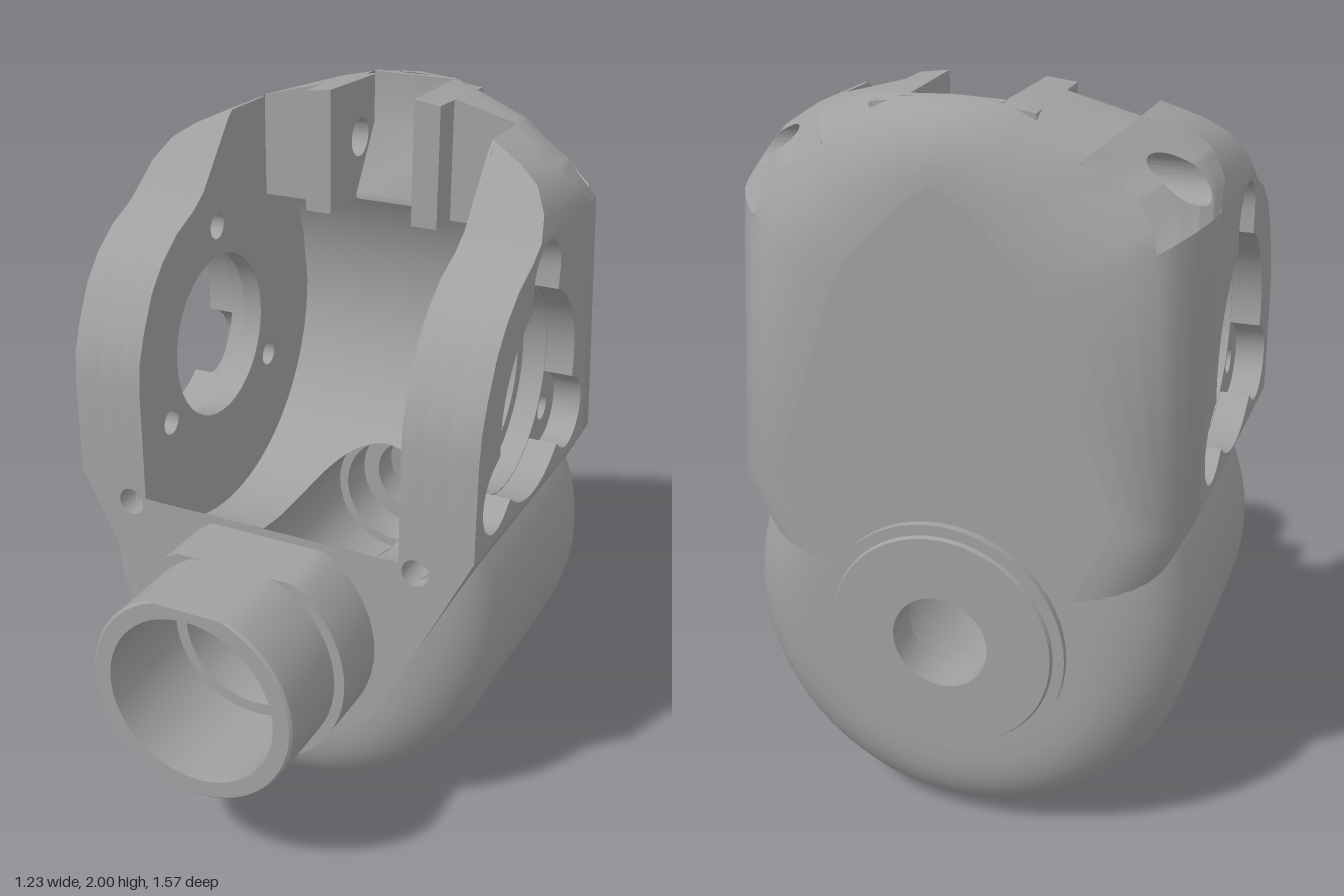
import * as THREE from 'three';
import { toCreasedNormals } from 'three/addons/utils/BufferGeometryUtils.js';

const CY = 0.615;                           // height of the main shaft axis
const CAV = { z: -0.1, y: 1.27, r: 0.57 };  // cross cavity, axis along x
const BORE = 0.215;
const HINGE = { z: -0.5, y: 1.815, r: 0.058 };
const FRONT = 0.35, BACK = -0.755;

// Half outline of the upper body: x, y, start of its skin in z,
// depth of the back rounding, x and y where it meets the flat back
const HALF = [
  [0.357, 0.44, 0.35, 0.17, 0.2, 0.5], [0.615, 0.97, 0.35, 0.17, 0.455, 1.01],
  [0.615, 0.97, -0.53, 0.17, 0.455, 1.01], [0.615, 1.73, -0.455, 0.3, 0.27, 1.55],
  [0.615, 1.73, -0.03, 0.3, 0.27, 1.55], [0.6, 1.79, -0.08, 0.4, 0.24, 1.6],
  [0.56, 1.85, -0.13, 0.44, 0.2, 1.65], [0.5, 1.89, -0.163, 0.45, 0.17, 1.68],
  [0.4, 1.935, -0.21, 0.35, 0.13, 1.72], [0.4, 1.935, -0.4, 0.35, 0.13, 1.72],
  [0.21, 1.985, -0.4, 0.24, 0.08, 1.77], [0.21, 1.985, -0.3, 0.24, 0.08, 1.77],
  [0.13, 1.995, -0.3, 0.17, 0.05, 1.79], [0.13, 1.995, -0.6, 0.17, 0.05, 1.79],
  [0, 2, -0.6, 0.14, 0, 1.82],
];

// Height of the roof line at x
function topY(x) {
  const i = HALF.findIndex((p, k) => k > 4 && p[0] <= Math.abs(x) + 1e-6), p = HALF[i], o = HALF[i - 1];
  return p[1] + (o[1] - p[1]) * (Math.abs(x) - p[0]) / (o[0] - p[0] || 1);
}

// Surface from rows of points
function grid(rows, skip = () => false) {
  const n = rows[0].length, idx = [];
  for (let i = 0; i < rows.length - 1; i++) for (let j = 0; j < n - 1; j++) {
    if (skip(i, j)) continue;
    const a = i * n + j, b = a + n;
    idx.push(a, b, a + 1, b, b + 1, a + 1);
  }
  const g = new THREE.BufferGeometry();
  g.setAttribute('position', new THREE.Float32BufferAttribute(rows.flat(2), 3));
  g.setIndex(idx);
  return g;
}
const steps = (n, f) => Array.from({ length: n + 1 }, (_, i) => f(i / n));
const mix = (p, q, t) => p.map((v, k) => v + (q[k] - v) * t);
const circle = (u, v, r, n = 40) => new THREE.Path(steps(n - 1, (t) => {
  const a = t * (n - 1) / n * Math.PI * 2;
  return new THREE.Vector2(u + r * Math.cos(a), v + r * Math.sin(a));
}));
// Plate with a z-y outline, reaching from x0 to x1
function sidePlate(pts, holes, x0, x1) {
  const s = new THREE.Shape(pts.map(([z, y]) => new THREE.Vector2(-z, y)));
  s.holes = holes;
  return new THREE.ExtrudeGeometry(s, { depth: x1 - x0, bevelEnabled: false }).rotateY(Math.PI / 2).translate(x0, 0, 0);
}
// Turned part around the shaft axis from [radius, z] points
function turned(pts, seg = 56, start = 0, len = Math.PI * 2) {
  return new THREE.LatheGeometry(pts.map(([r, z]) => new THREE.Vector2(r, z)), seg, start, len)
    .rotateX(Math.PI / 2).translate(0, CY, 0);
}

export function createModel() {
  const group = new THREE.Group();
  const metal = new THREE.MeshStandardMaterial({ color: 0xa0a0a0, side: THREE.DoubleSide });
  metal.name = 'grey metal';
  const add = (name, g, crease = 0.6) => {
    const m = new THREE.Mesh(toCreasedNormals(g, crease), metal);
    m.name = name;
    group.add(m);
  };

  // Lower drum with rounded rims
  const rim = 0.23, q = Math.PI / 2;
  add('drum', turned([
    [0.25, BACK],
    ...steps(8, (t) => [CY - rim + rim * Math.sin(t * q), BACK + rim - rim * Math.cos(t * q)]),
    ...steps(8, (t) => [CY - rim + rim * Math.cos(t * q), FRONT - rim + rim * Math.sin(t * q)]),
    [0.25, FRONT]], 44, -2.077, 4.154));

  // Stepped front sleeve with a flat on top
  const sleeve = turned([[0.335, FRONT], [0.335, 0.54], [0.305, 0.54], [0.305, 0.778], [0.298, 0.785],
    [0.25, 0.785], [0.25, 0.45], [BORE, 0.45]]);
  const sp = sleeve.attributes.position;
  for (let i = 0; i < sp.count; i++) sp.setY(i, Math.min(sp.getY(i), 0.895));
  add('frontSleeve', sleeve);
  add('backBoss', turned([[BORE, -0.55], [0.185, -0.55], [0.185, -0.68], [0.13, -0.68], [0.13, -0.785],
    [0.3, -0.785], [0.305, -0.775], [0.335, -0.775], [0.335, BACK]]));

  // Shaft bore, cut open where it meets the cavity
  const reach = (y) => Math.sqrt(Math.max(0, CAV.r ** 2 - (CAV.y - y) ** 2));
  for (const [end, dir] of [[0.45, 1], [-0.55, -1]]) {
    add('shaftBore', grid(steps(64, (t) => {
      const a = t * Math.PI * 2, x = BORE * Math.sin(a), y = CY + BORE * Math.cos(a);
      return [[x, y, end], [x, y, CAV.z + dir * reach(y)]];
    })));
  }

  // Curved cavity wall with the opening to the bore
  const a0 = Math.atan2(-0.35, 0.45), a1 = -Math.PI - Math.asin(0.36 / CAV.r);
  for (const s of [1, -1]) {
    add('cavityWall', grid(steps(120, (t) => {
      const a = a0 + (a1 - a0) * t, y = CAV.y + CAV.r * Math.sin(a), z = CAV.z + CAV.r * Math.cos(a);
      const w = Math.sqrt(Math.max(0, BORE ** 2 - (y - CY) ** 2));
      return [[s * w, y, z], [s * 0.4, y, z]];
    })));
  }

  // Front face with bore and two screw holes
  const face = new THREE.Shape();
  face.moveTo(0.4, 0.92).lineTo(0.4, 0.97).lineTo(0.615, 0.97).lineTo(0.357, 0.44);
  face.absarc(0, CY, 0.39, -0.456, Math.PI + 0.456, true);
  face.lineTo(-0.357, 0.44).lineTo(-0.615, 0.97).lineTo(-0.4, 0.97).lineTo(-0.4, 0.92);
  face.holes = [circle(0, CY, 0.25), circle(0.45, 0.9, 0.04, 20), circle(-0.45, 0.9, 0.04, 20)];
  add('frontFace', new THREE.ShapeGeometry(face, 24).translate(0, 0, FRONT));
  for (const s of [1, -1]) {
    add('frontScrewHole', turned([[0.04, FRONT], [0.04, 0.25], [0, 0.25]], 20).translate(s * 0.45, 0.9 - CY, 0));
  }

  // Side walls: layers with bearing bore, counterbore and three-lobed recess
  const profile = [[FRONT, 1.25], [0.34, 1.34], [0.31, 1.42], [0.26, 1.52], [0.2, 1.59], [0.12, 1.65], [0.03, 1.69], [-0.03, 1.73]];
  const wall = [[FRONT, 0.965], ...profile, [-0.455, 1.73], [-0.53, 0.965]];
  const inner = [...profile, [-0.18, 1.91], [-0.205, 1.93], [-0.4, 1.93], [-0.565, 1.87], [-0.62, 1.6],
    ...steps(24, (t) => {
      const a = -Math.PI + t * (a0 + Math.PI);
      return [CAV.z + CAV.r * Math.cos(a), CAV.y + CAV.r * Math.sin(a)];
    })];
  const lobes = [0, 1, 2].map((i) => Math.PI / 2 + i * Math.PI * 2 / 3);
  const screws = () => lobes.map((a) => circle(-CAV.z + 0.34 * Math.cos(a), CAV.y + 0.34 * Math.sin(a), 0.038, 20));
  const ring = (r) => circle(-CAV.z, CAV.y, r);
  const recess = () => new THREE.Path(steps(143, (t) => {
    const a = t * 143 / 144 * Math.PI * 2;
    let r = 0.298;
    for (const l of lobes) {
      const k = 0.0115 - (0.34 * Math.sin(a - l)) ** 2;
      if (k > 0 && Math.cos(a - l) > 0) r = Math.max(r, 0.34 * Math.cos(a - l) + Math.sqrt(k));
    }
    return new THREE.Vector2(-CAV.z + r * Math.cos(a), CAV.y + r * Math.sin(a));
  }));
  const hinge = () => circle(-HINGE.z, HINGE.y, HINGE.r, 48);
  const layers = [
    [inner, () => [ring(0.25), ...screws(), hinge()], 0.4, 0.41],
    [wall, () => [ring(0.25), ...screws()], 0.41, 0.46],
    [wall, () => [ring(0.295), ...screws()], 0.46, 0.53],
    [wall, () => [recess()], 0.53, 0.615],
  ];
  for (const [pts, holes, p, r] of layers) {
    add('leftWall', sidePlate(pts, holes(), p, r));
    add('rightWall', sidePlate(pts, holes(), -r, -p));
  }

  // Outer skin of the upper body, rounded into the back face
  const outline = [...HALF, ...HALF.slice(0, -1).reverse().map(([x, y, z, r, bx, by]) => [-x, y, z, r, -bx, by])];
  const rows = outline.map(([x, y, z, r, bx, by]) => [[x, y, z], ...steps(8, (t) => {
    const k = 1 - Math.cos(t * q);
    return [x + (bx - x) * k, y + (by - y) * k, Math.min(z, BACK + r * (1 - Math.sin(t * q)))];
  })]);
  const atHinge = (i, j) => {
    const k = Math.min(i, rows.length - 2 - i);
    return k >= 4 && k < 8 && j >= 1 && j < 5;
  };
  add('upperShell', grid(rows, atHinge), 0.7);

  // Skin around the hinge hole: rays from the hole centre to the border of the gap
  const skinAt = (u, v) => {
    const i = Math.min(7, Math.floor(u)), j = Math.min(4, Math.floor(v));
    return mix(mix(rows[i][j], rows[i][j + 1], v - j), mix(rows[i + 1][j], rows[i + 1][j + 1], v - j), u - i);
  };
  const mouth = steps(96, (t) => {
    const c = Math.cos(t * Math.PI * 2), s = Math.sin(t * Math.PI * 2), u0 = 6.1, v0 = 3.2;
    const far = Math.min((c > 0 ? 8 - u0 : u0 - 4) / Math.max(Math.abs(c), 1e-9),
      (s > 0 ? 5 - v0 : v0 - 1) / Math.max(Math.abs(s), 1e-9));
    const at = (d) => skinAt(u0 + c * d, v0 + s * d);
    let lo = 0, hi = far;
    for (let k = 0; k < 24; k++) {
      const m = (lo + hi) / 2, p = at(m);
      if (Math.hypot(p[1] - HINGE.y, p[2] - HINGE.z) < HINGE.r) lo = m; else hi = m;
    }
    return steps(4, (k) => at(lo + (far - lo) * k));
  });

  // Roof blocks, hinge tabs and the sloped back of the slot
  const roofPart = (name, pts, holes, x0, x1, drop) => {
    const g = sidePlate(pts, holes, x0, x1), p = g.attributes.position;
    for (let i = 0; i < p.count; i++) {
      if (p.getY(i) > 1.91) p.setY(i, topY(p.getX(i)) - (p.getZ(i) < -0.5 ? drop : 0));
    }
    add(name, g);
  };
  const block = (z, back) => [[back, 1.63], [z, 1.63], [z, 1.95], [back, 1.95]];
  for (const s of [1, -1]) {
    const span = (p, r) => (s > 0 ? [p, r] : [-r, -p]);
    const flip = ([x, y, z]) => [s * x, y, z];
    roofPart('roofBlock', block(-0.4, -0.565), [hinge()], ...span(0.21, 0.4), 0.065);
    roofPart('hingeTab', block(-0.3, -0.62), [hinge()], ...span(0.13, 0.21), 0.012);
    // Sloped front edge above each wall
    add('wallTopEdge', grid(HALF.slice(4, 9).map(([x, y, z]) => [[s * 0.4, y, z], [s * x, y, z]])));
    add('hingeMouth', grid(mouth.map((r) => r.map(flip))), 0.7);
    add('hingeBore', grid(mouth.map(([p]) => [[s * 0.13, p[1], p[2]], flip(p)])));
  }
  roofPart('slotBack', [[-0.62, 1.63], [-0.48, 1.63], [-0.48, 1.65], [-0.6, 1.84], [-0.6, 1.95], [-0.62, 1.95]],
    [], -0.13, 0.13, 0.002);

  // Flat back face
  const back = new THREE.Shape([[0.2, 0.3], ...rows.map((r) => r[r.length - 1]), [-0.2, 0.3]]
    .map(([x, y]) => new THREE.Vector2(x, y)));
  back.holes = [circle(0, CY, 0.13)];
  add('backFace', new THREE.ShapeGeometry(back).translate(0, 0, BACK));
  return group;
}
